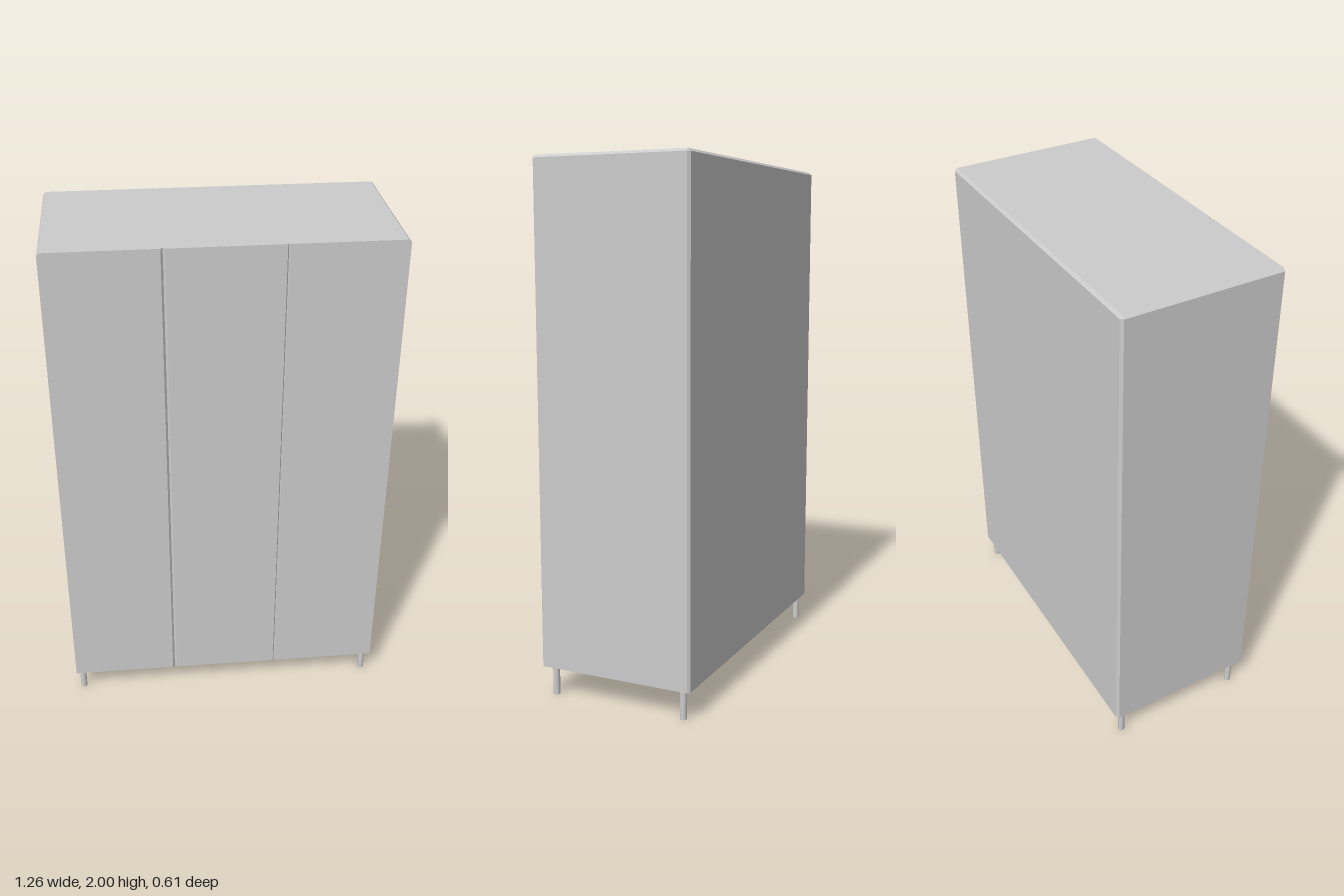
import * as THREE from 'three';

const W = 0.63, D = 0.305, BASE = 0.11, TOP = 2, C = 0.01; // half width, half depth, heights, chamfer

export function createModel() {
  const group = new THREE.Group();
  const material = new THREE.MeshStandardMaterial({ color: 0xcccccc });

  // Cabinet: footprint with V grooves between the doors and chamfered back corners
  const footprint = new THREE.Shape([
    [-W, -D],
    [-0.221, -D], [-0.213, -D + 0.008], [-0.205, -D],
    [0.207, -D], [0.211, -D + 0.005], [0.215, -D],
    [W, -D], [W, D - C], [W - C, D], [-W + C, D], [-W, D - C],
  ].map(([x, y]) => new THREE.Vector2(x, y)));
  const bodyGeometry = new THREE.ExtrudeGeometry(footprint, {
    depth: TOP - BASE, steps: 2, bevelEnabled: false,
  });
  bodyGeometry.rotateX(-Math.PI / 2).translate(0, BASE, 0);

  // Top chamfer along the sides and back; the front stays square
  const p = bodyGeometry.attributes.position;
  const middle = (BASE + TOP) / 2;
  for (let i = 0; i < p.count; i++) {
    const y = p.getY(i);
    if (Math.abs(y - middle) < 0.01) p.setY(i, TOP - C);
    else if (y > middle) {
      p.setX(i, THREE.MathUtils.clamp(p.getX(i), -W + C, W - C));
      p.setZ(i, Math.max(p.getZ(i), -D + C));
    }
  }
  bodyGeometry.computeVertexNormals();
  const body = new THREE.Mesh(bodyGeometry, material);
  body.name = 'cabinet';
  group.add(body);

  // Four round legs
  const legGeometry = new THREE.CylinderGeometry(0.013, 0.013, BASE, 24);
  for (const x of [-0.605, 0.605]) {
    for (const z of [0.262, -0.27]) {
      const leg = new THREE.Mesh(legGeometry, material);
      leg.name = `${z > 0 ? 'front' : 'back'}${x > 0 ? 'Left' : 'Right'}Leg`;
      leg.position.set(x, BASE / 2, z);
      group.add(leg);
    }
  }
  return group;
}
